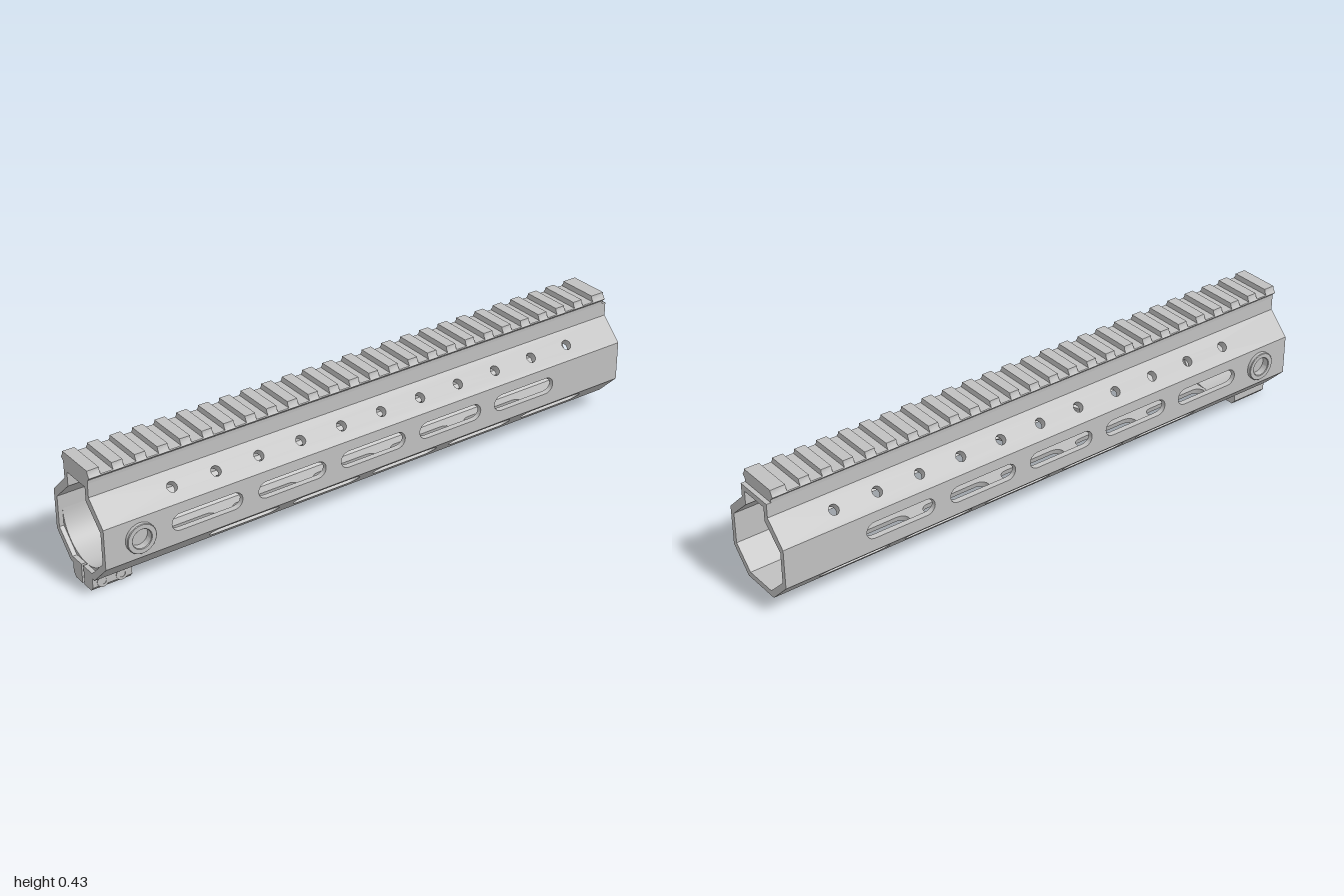
import * as THREE from 'three';
import { toCreasedNormals } from 'three/addons/utils/BufferGeometryUtils.js';

const metal = new THREE.MeshStandardMaterial({ color: 0xc0c0c0 });
metal.name = 'grey metal';

// Half cross-section of the tube, bottom to top: [outer x, outer y, inner x, inner y]
const SECTION = [
  [0.07, 0.048, 0.058, 0.067],
  [0.145, 0.124, 0.128, 0.136],
  [0.145, 0.261, 0.128, 0.243],
  [0.07, 0.335, 0.052, 0.315],
  [0.07, 0.382, 0.052, 0.363],
];
const PITCH = 0.308;

function addMesh(parent, name, geometry) {
  const mesh = new THREE.Mesh(geometry, metal);
  mesh.name = name;
  parent.add(mesh);
  return mesh;
}

const points = (list) => list.map(([x, y]) => new THREE.Vector2(x, y));

// Extrudes an x-y profile from z0 to z1
function prism(profile, z0, z1, crease = 0.5) {
  const geometry = new THREE.ExtrudeGeometry(new THREE.Shape(points(profile)), { depth: z1 - z0, bevelEnabled: false });
  geometry.translate(0, 0, z0);
  return toCreasedNormals(geometry, crease);
}

// Mirrors a right-hand profile into a closed symmetric one
const symmetric = (half) => [...half, ...half.map(([x, y]) => [-x, y]).reverse()];

// Rounded slot outline; a length of 2r makes a round hole
function slot(u, v, length, r) {
  const list = [];
  const half = length / 2 - r;
  for (const side of [1, -1]) {
    for (let i = 0; i <= 12; i++) {
      const a = -Math.PI / 2 + (i / 12) * Math.PI;
      list.push([u + side * (half + r * Math.cos(a)), v + side * r * Math.sin(a)]);
    }
  }
  if (half < 1e-6) { list.splice(25, 1); list.splice(12, 1); }
  return new THREE.Path(points(list));
}

const slotRow = (z, v) => Array.from({ length: 5 }, (_, i) => slot(-(z - i * PITCH), v, 0.25, 0.029));

// One mitred wall of the tube, running from section corner a to corner b
function wall(a, b, holes = [], notch = 0) {
  const length = Math.hypot(b[0] - a[0], b[1] - a[1]);
  const m = length / 2;
  const outline = [[-1, 0], [1, 0], [1, length], [-1, length]];
  if (notch) outline.push([-1, m + 0.006], [-1 + notch, m + 0.006], [-1 + notch, m - 0.006], [-1, m - 0.006]);
  const shape = new THREE.Shape(points(outline));
  shape.holes.push(...holes);
  const geometry = new THREE.ExtrudeGeometry(shape, { depth: 1, bevelEnabled: false });
  const p = geometry.attributes.position;
  const mix = THREE.MathUtils.lerp;
  for (let i = 0; i < p.count; i++) {
    const t = p.getY(i) / length;
    const d = p.getZ(i);
    p.setXYZ(i,
      mix(mix(a[2], b[2], t), mix(a[0], b[0], t), d),
      mix(mix(a[3], b[3], t), mix(a[1], b[1], t), d),
      -p.getX(i));
  }
  geometry.computeVertexNormals();
  return toCreasedNormals(geometry, 0.5);
}

export function createModel() {
  const model = new THREE.Group();
  model.name = 'handguard';

  // Tube walls
  const tube = new THREE.Group();
  tube.name = 'tube';
  model.add(tube);
  const flip = ([ox, oy, ix, iy]) => [-ox, oy, -ix, iy];
  const [s0, s1, s2, s3, s4] = SECTION;
  addMesh(tube, 'bottomWall', wall(flip(s0), s0, slotRow(0.645, 0.07), 0.135));
  addMesh(tube, 'topWall', wall(s4, flip(s4)));

  const lengthOf = (a, b) => Math.hypot(b[0] - a[0], b[1] - a[1]);
  for (const left of [true, false]) {
    const side = left ? 'left' : 'right';
    const add = (name, a, b, makeHoles) => {
      const L = lengthOf(a, b);
      // measured from the lower corner; the mirrored wall runs downward
      const holes = makeHoles((v) => (left ? v : L - v));
      addMesh(tube, side + name, left ? wall(a, b, holes) : wall(flip(b), flip(a), holes));
    };
    add('LowerWall', s0, s1, (v) => slotRow(0.495, v(0.06)));
    add('SideWall', s1, s2, (v) => [...slotRow(0.645, v(0.072)), slot(-0.88, v(0.07), 0.08, 0.04)]);
    add('UpperWall', s2, s3, (v) =>
      Array.from({ length: 11 }, (_, i) => slot(-(0.742 - i * PITCH / 2), v(0.053), 0.034, 0.017)));
    add('NeckWall', s3, s4, () => []);
  }

  // Rounded seat inside the front of the tube
  const seat = [[-0.128, 0.195], [-0.128, 0.136], [-0.058, 0.067], [0.058, 0.067], [0.128, 0.136]];
  for (let i = 0; i < 32; i++) {
    const a = (-i / 32) * Math.PI;
    seat.push([0.128 * Math.cos(a), 0.1955 + 0.128 * Math.sin(a)]);
  }
  addMesh(model, 'barrelSeat', prism(seat, 0.78, 0.985));

  // Top rail with cross teeth
  const rail = new THREE.Group();
  rail.name = 'topRail';
  model.add(rail);
  addMesh(rail, 'railBase', prism(symmetric([[0.07, 0.381], [0.071, 0.393], [0.081, 0.403], [0.079, 0.406]]), -0.985, 1));
  const tooth = symmetric([[0.079, 0.406], [0.072, 0.417], [0.071, 0.425]]);
  addMesh(rail, 'frontTooth', prism(tooth, 0.96, 1));
  addMesh(rail, 'rearTooth', prism(tooth, -0.985, -0.934));
  for (let i = 0; i < 24; i++) {
    const z = 0.9 - i * PITCH / 4;
    addMesh(rail, 'tooth', prism(tooth, z - 0.018, z + 0.018));
  }

  // Sling sockets: recessed cups on both sides
  const cup = toCreasedNormals(new THREE.LatheGeometry(points([
    [0.05, -0.002], [0.05, 0.011], [0.048, 0.013], [0.034, 0.013], [0.032, 0.011], [0.032, -0.012], [0, -0.012],
  ]), 40), 0.5);
  const cupBack = new THREE.CircleGeometry(0.041, 40);
  for (const side of [1, -1]) {
    const socket = new THREE.Group();
    socket.name = side > 0 ? 'leftSocket' : 'rightSocket';
    addMesh(socket, 'socketCup', cup).rotation.z = -side * Math.PI / 2;
    const back = addMesh(socket, 'socketBack', cupBack);
    back.rotation.y = -side * Math.PI / 2;
    back.position.x = -side * 0.0165;
    socket.position.set(side * 0.145, 0.194, 0.88);
    model.add(socket);
  }

  // Clamp feet under the front
  const clamp = new THREE.Group();
  clamp.name = 'clamp';
  model.add(clamp);
  const foot = [[0.006, 0], [0.045, 0], [0.057, 0.014], [0.057, 0.05], [0.006, 0.05]];
  addMesh(clamp, 'leftFoot', prism(foot, 0.865, 1));
  addMesh(clamp, 'rightFoot', prism(foot.map(([x, y]) => [-x, y]).reverse(), 0.865, 1));

  // Clamp screws on the left foot
  const screw = toCreasedNormals(new THREE.LatheGeometry(points([
    [0.02, -0.012], [0.02, 0.002], [0.011, 0.002], [0.011, 0.0005], [0, 0.0005],
  ]), 24), 0.5);
  for (const z of [0.965, 0.9]) {
    const head = addMesh(clamp, 'clampScrew', screw);
    head.rotation.z = -Math.PI / 2;
    head.position.set(0.057, 0.028, z);
  }
  for (const x of [0]) {
    const shaft = new THREE.CylinderGeometry(0.009, 0.009, 0.03, 16);
    for (const z of [0.965, 0.9]) {
      const rod = addMesh(clamp, 'screwShaft', shaft);
      rod.rotation.z = Math.PI / 2;
      rod.position.set(x, 0.028, z);
    }
  }
  return model;
}
